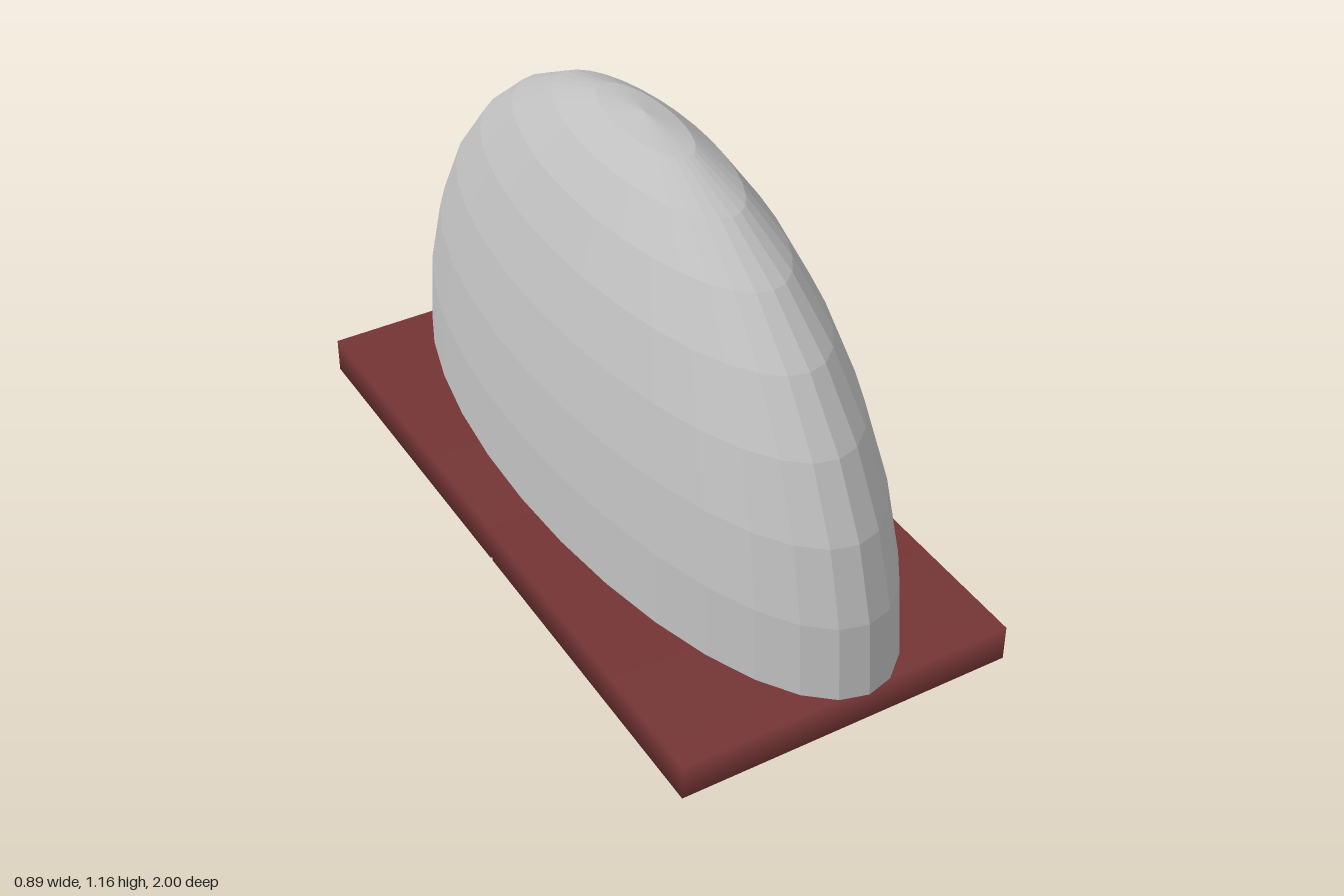
import * as THREE from 'three';

const grey = new THREE.MeshStandardMaterial({ color: 0xbfbfbf, flatShading: true, side: THREE.DoubleSide });
grey.name = 'dome grey';
const red = new THREE.MeshStandardMaterial({ color: 0x7f3a3a });
red.name = 'base red';

// Slab whose normals are rounded over its long edges for soft shading
function slabGeometry(width, height, depth) {
  const geometry = new THREE.BoxGeometry(width, height, depth);
  const { position, normal } = geometry.attributes;
  for (let i = 0; i < position.count; i++) {
    normal.setXYZ(i, 0, Math.sign(position.getY(i)) * Math.SQRT1_2, Math.sign(position.getZ(i)) * Math.SQRT1_2);
  }
  return geometry;
}

export function createModel() {
  const model = new THREE.Group();
  model.name = 'domeOnBase';

  // Open, narrow half-ellipsoid floating above the base
  const domeGeometry = new THREE.SphereGeometry(1, 32, 8, 0, Math.PI * 2, 0, Math.PI / 2);
  domeGeometry.scale(0.355, 1, 1);
  const dome = new THREE.Mesh(domeGeometry, grey);
  dome.name = 'dome';
  dome.position.y = 0.16;
  model.add(dome);

  // Two base slabs separated by a hairline gap
  const slab = slabGeometry(0.89, 0.096, 0.924);
  for (const [name, side] of [['frontSlab', 1], ['rearSlab', -1]]) {
    const mesh = new THREE.Mesh(slab, red);
    mesh.name = name;
    mesh.position.set(0, 0.048, side * 0.467);
    model.add(mesh);
  }

  return model;
}
